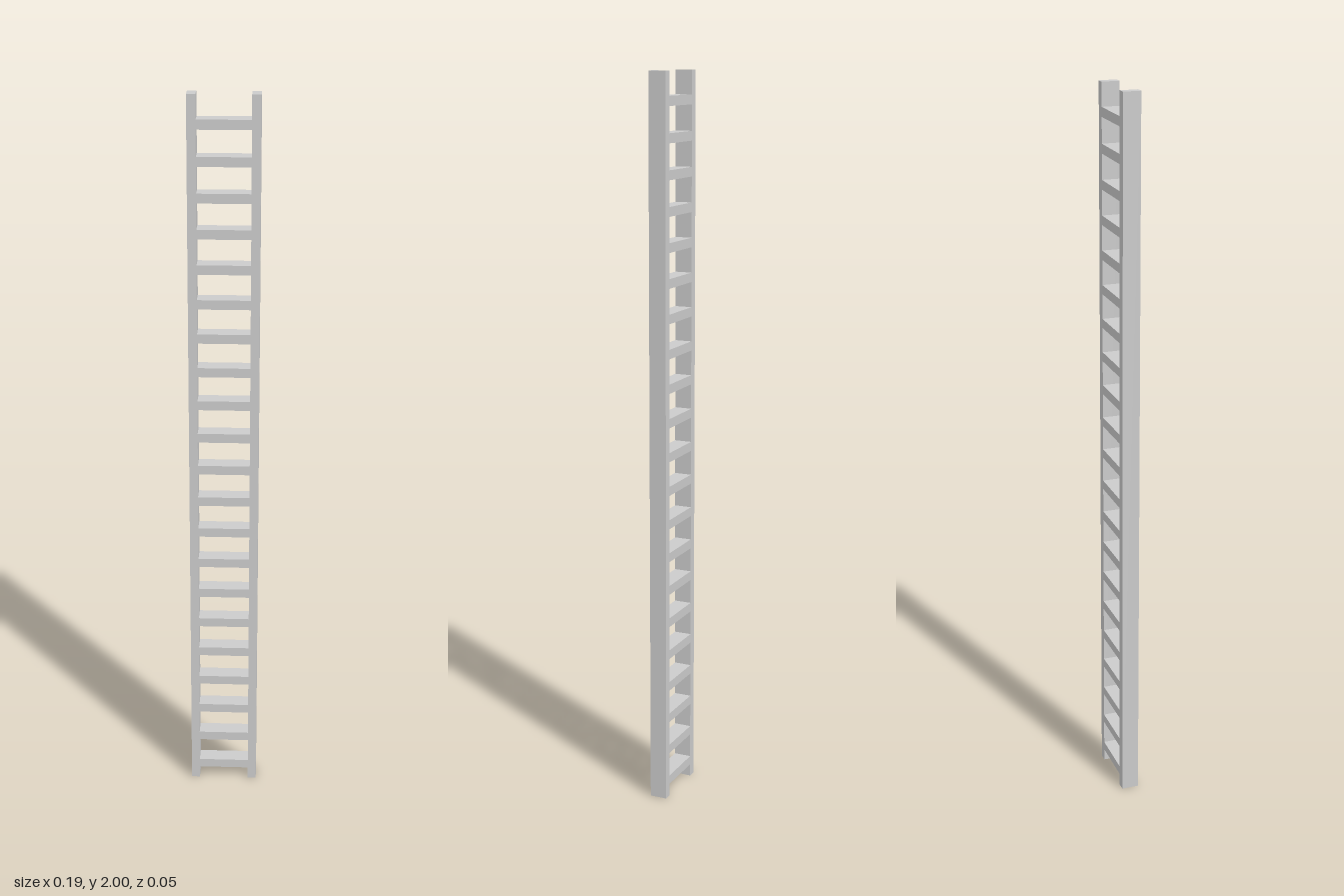
import * as THREE from 'three';

export function createModel() {
  const model = new THREE.Group();
  model.name = 'ladder';
  const material = new THREE.MeshStandardMaterial({ color: 0xcccccc, flatShading: true });

  const height = 2;
  const depth = 0.048;
  const halfWidth = 0.094;
  const railWidth = 0.0235;

  // Two upright side rails
  const railGeometry = new THREE.BoxGeometry(railWidth, height, depth);
  for (const [name, side] of [['leftRail', 1], ['rightRail', -1]]) {
    const rail = new THREE.Mesh(railGeometry, material);
    rail.name = name;
    rail.position.set(side * (halfWidth - railWidth / 2), height / 2, 0);
    model.add(rail);
  }

  // Evenly spaced square-edged rungs between the rails
  const rungCount = 21;
  const firstRung = 0.048;
  const rungSpacing = 0.0938;
  const rungGeometry = new THREE.BoxGeometry(2 * (halfWidth - railWidth), 0.0255, depth);
  for (let i = 0; i < rungCount; i++) {
    const rung = new THREE.Mesh(rungGeometry, material);
    rung.name = `rung${i + 1}`;
    rung.position.y = firstRung + i * rungSpacing;
    model.add(rung);
  }

  return model;
}
